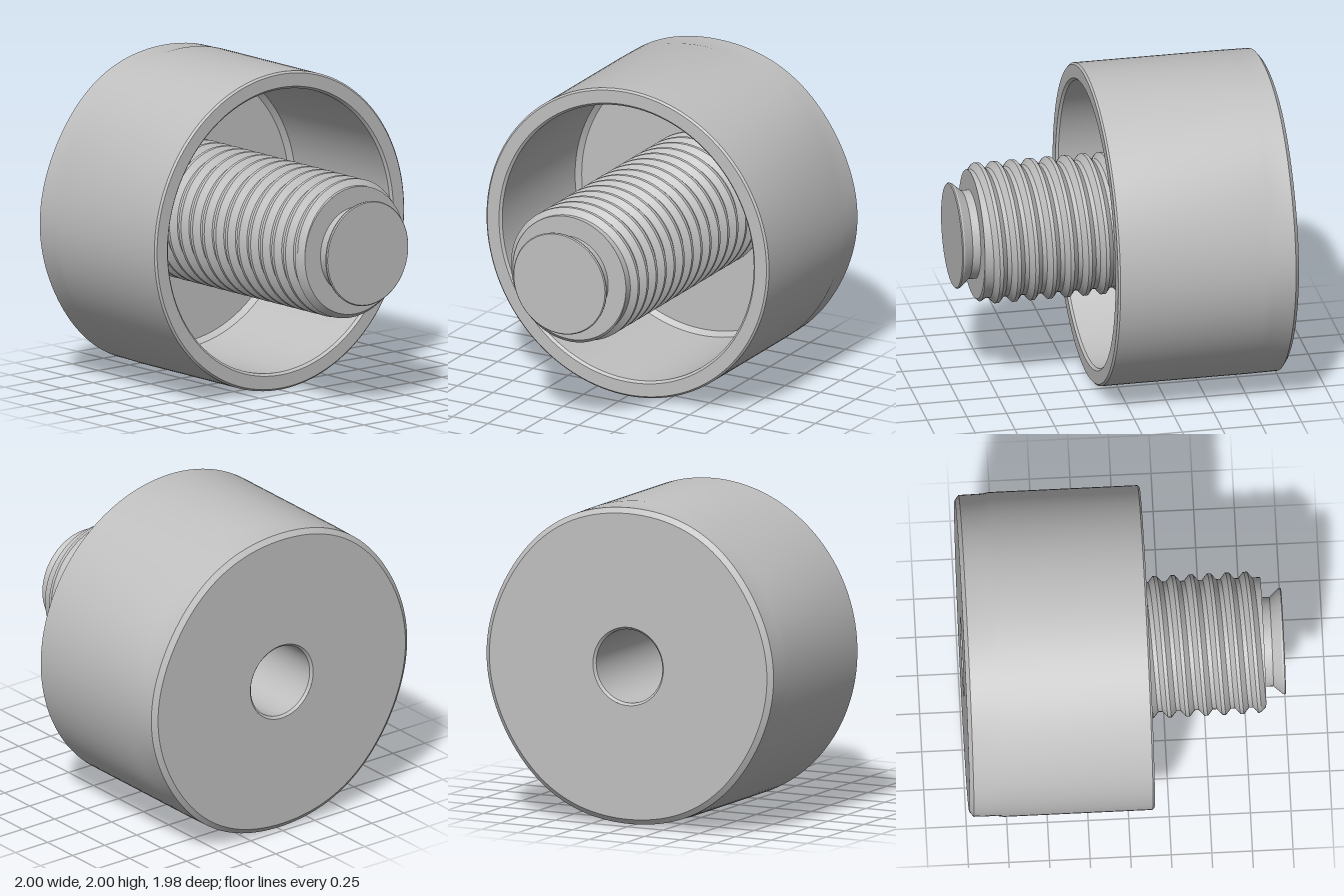
import * as THREE from 'three';
import { toCreasedNormals } from 'three/addons/utils/BufferGeometryUtils.js';

const CREASE = 0.4;

// Revolves [radius, z] points about the z axis; solid lies left of the path.
function turned(points, segments = 96) {
  const geo = new THREE.LatheGeometry(points.map(([r, z]) => new THREE.Vector2(r, z)), segments);
  return geo.rotateX(Math.PI / 2);
}

// Six very shallow hollows around the rear band of the cup.
function addRearHollows(geo) {
  const p = geo.attributes.position;
  for (let i = 0; i < p.count; i++) {
    const x = p.getX(i), y = p.getY(i);
    if (p.getZ(i) > -0.8 || Math.hypot(x, y) < 0.95) continue;
    const s = 1 - 0.01 * (0.5 + 0.5 * Math.cos(6 * Math.atan2(x, y)));
    p.setXY(i, x * s, y * s);
  }
  return geo;
}

// Right-hand screw thread built as a helical grid, trimmed flat at both ends.
function threadGeometry(zMin, zMax, pitch, root, crest, crestZ) {
  const steps = [-0.38, -0.1, 0.1, 0.38];
  const cols = 80;
  const radiusAt = (z, turn) => {
    let f = (z - crestZ) / pitch - turn + 0.25;
    f = Math.abs(f - Math.round(f));
    const t = THREE.MathUtils.clamp((0.38 - f) / 0.28, 0, 1);
    return Math.min(root + (crest - root) * t, root + (zMax - z));
  };
  const first = Math.floor((zMin - crestZ) / pitch) - 2;
  const last = Math.ceil((zMax - crestZ) / pitch) + 2;
  const pos = [], index = [];
  let rows = 0;
  for (let k = first; k <= last; k++) {
    for (const s of steps) {
      for (let j = 0; j <= cols; j++) {
        const turn = j / cols, a = turn * Math.PI * 2;
        const z = THREE.MathUtils.clamp(crestZ + pitch * (k + s + turn - 0.25), zMin, zMax);
        const r = radiusAt(z, turn);
        pos.push(r * Math.cos(a), r * Math.sin(a), z);
      }
      rows++;
    }
  }
  for (let i = 0; i < rows - 1; i++) {
    for (let j = 0; j < cols; j++) {
      const a = i * (cols + 1) + j, b = a + 1, c = a + cols + 1, d = c + 1;
      // Skip cells squashed against the trimmed ends
      const zs = [a, b, c, d].map((v) => pos[v * 3 + 2]);
      if (Math.max(...zs) - Math.min(...zs) < 1e-6) continue;
      index.push(a, b, d, a, d, c);
    }
  }
  const geo = new THREE.BufferGeometry();
  geo.setAttribute('position', new THREE.Float32BufferAttribute(pos, 3));
  geo.setIndex(index);
  return geo;
}

export function createModel() {
  const group = new THREE.Group();
  group.name = 'threadedKnob';
  const metal = new THREE.MeshStandardMaterial({ color: 0xc0c0c0 });
  metal.name = 'plain grey metal';

  const add = (name, geo) => {
    const mesh = new THREE.Mesh(toCreasedNormals(geo, CREASE), metal);
    mesh.name = name;
    mesh.position.y = 1;
    group.add(mesh);
  };

  // Hollow cup: rear face, outer wall, rim, inner wall and floor
  add('cup', addRearHollows(turned([
    [0.245, -0.99], [0.965, -0.99], [0.998, -0.965], [1, -0.82], [1, -0.78],
    [1, 0.138], [0.988, 0.15], [0.905, 0.15], [0.89, 0.135],
    [0.89, -0.77], [0.86, -0.8], [0.38, -0.8],
  ], 144)));

  // Blind bore opening in the rear face
  add('rearBore', turned([[0, 0.5], [0.23, 0.5], [0.23, -0.975], [0.245, -0.99]]));

  // Central threaded stud
  add('threadedStud', threadGeometry(-0.8, 0.865, 0.1115, 0.4, 0.437, 0.795));

  // End face, neck and flared tip of the stud
  add('studTip', turned([
    [0.4, 0.865], [0.275, 0.865], [0.275, 0.915], [0.325, 0.972],
    [0.328, 0.984], [0.322, 0.99], [0, 0.99],
  ]));

  return group;
}
